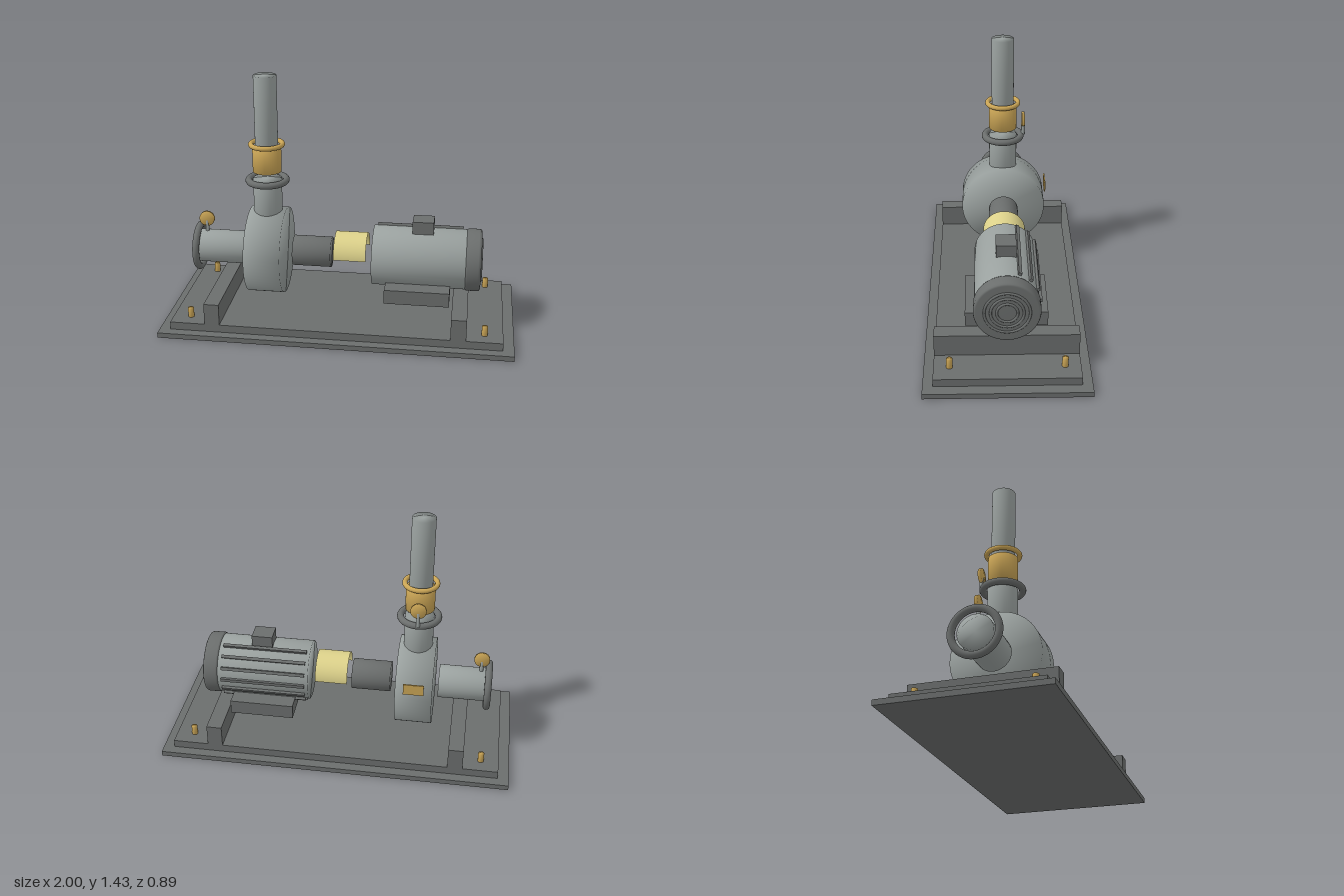
import * as THREE from 'three';
import { mergeVertices } from 'three/addons/utils/BufferGeometryUtils.js';

const mat = (name, color, side = THREE.FrontSide) => {
  const m = new THREE.MeshStandardMaterial({ color, side });
  m.name = name;
  return m;
};

export function createModel() {
  const root = new THREE.Group();
  root.name = 'motorDrivenPump';

  const light = mat('light grey', 0x9aa19f);
  const dark = mat('dark grey', 0x6b6e6d);
  const brass = mat('brass', 0xc9a455);
  const yellow = mat('pale yellow', 0xdcd18a, THREE.DoubleSide);

  const axisY = 0.39; // shaft height
  const pumpX = -0.433;

  const add = (name, geometry, material, x, y, z) => {
    const mesh = new THREE.Mesh(geometry, material);
    mesh.name = name;
    mesh.position.set(x, y, z);
    root.add(mesh);
    return mesh;
  };

  // Share normals across the caps
  const soften = (g) => {
    g.deleteAttribute('uv');
    g.deleteAttribute('normal');
    const merged = mergeVertices(g, 1e-5);
    merged.computeVertexNormals();
    return merged;
  };

  // Box, upright cylinder and shaft-wise cylinder given by their limits
  const box = (name, m, x0, x1, y0, y1, halfZ) =>
    add(name, new THREE.BoxGeometry(x1 - x0, y1 - y0, halfZ * 2), m, (x0 + x1) / 2, (y0 + y1) / 2, 0);
  const upright = (name, m, r, y0, y1, x, z = 0, sides = 48) =>
    add(name, soften(new THREE.CylinderGeometry(r, r, y1 - y0, sides)), m, x, (y0 + y1) / 2, z);
  const along = (name, m, r, x0, x1) =>
    add(name, soften(new THREE.CylinderGeometry(r, r, x1 - x0, 64).rotateZ(Math.PI / 2)), m, (x0 + x1) / 2, axisY, 0);

  // Baseplate
  box('basePlate', dark, -1, 1, 0, 0.03, 0.445);
  box('baseDeck', dark, -0.938, 0.938, 0.03, 0.075, 0.39);
  box('pumpCrossBeam', dark, -0.738, -0.652, 0.075, 0.2, 0.39);
  box('motorCrossBeam', dark, 0.648, 0.735, 0.075, 0.2, 0.39);
  for (const x of [-0.837, 0.835])
    for (const z of [-0.305, 0.305]) upright('anchorBolt', brass, 0.017, 0.07, 0.13, x, z, 20);

  // Pump casing and suction side
  along('pumpCasing', light, 0.25, -0.537, -0.328);
  along('suctionPipe', light, 0.096, -0.84, -0.563);
  add('suctionFlange', new THREE.TorusGeometry(0.125, 0.02, 16, 64).rotateY(Math.PI / 2), dark, -0.844, axisY, 0);
  add('namePlate', new THREE.BoxGeometry(0.115, 0.065, 0.008), brass, pumpX, 0.493, -0.256);

  // Discharge side
  upright('dischargePipe', light, 0.082, 0.57, 0.83, pumpX);
  add('dischargeFlange', new THREE.TorusGeometry(0.107, 0.019, 16, 64).rotateX(Math.PI / 2), dark, pumpX, 0.82, 0);
  upright('valveBody', brass, 0.082, 0.875, 1.01, pumpX);
  add('valveRing', new THREE.TorusGeometry(0.09, 0.014, 16, 64).rotateX(Math.PI / 2), brass, pumpX, 1.034, 0);
  upright('riserPipe', light, 0.065, 1.005, 1.432, pumpX);

  // Pressure gauges: stem and round dial
  const gauge = (x, stemBottom, dialY, z) => {
    upright('gaugeStem', light, 0.011, stemBottom, dialY - 0.012, x, z, 16);
    add('gaugeDial', soften(new THREE.CylinderGeometry(0.044, 0.044, 0.017, 32).rotateX(Math.PI / 2)),
      brass, x, dialY, z);
  };
  gauge(-0.8, 0.47, 0.561, 0);
  gauge(pumpX, 0.825, 0.926, -0.122);

  // Bearing housing and half-round coupling guard
  along('bearingHousing', dark, 0.088, -0.285, -0.062);
  add('couplingGuard',
    new THREE.CylinderGeometry(0.122, 0.122, 0.186, 40, 1, true, 0, Math.PI).rotateZ(Math.PI / 2),
    yellow, 0.053, 0.393, 0);

  // Motor
  along('motorBody', light, 0.172, 0.182, 0.72);
  box('motorFoot', dark, 0.263, 0.63, 0.19, 0.273, 0.224);
  box('junctionBox', dark, 0.405, 0.525, 0.54, 0.626, 0.055);

  // Cooling fins on the rear half of the motor
  for (let i = -3; i <= 3; i++) {
    const a = i * Math.PI / 8;
    const fin = add('coolingFin', new THREE.BoxGeometry(0.49, 0.018, 0.03), dark,
      0.446, axisY + Math.sin(a) * 0.172, -Math.cos(a) * 0.172);
    fin.rotation.x = a;
  }

  // Fan cover with rounded rims and concentric grille rings
  const profile = [
    [0, 0], [0.165, 0], [0.174, 0.003], [0.178, 0.012], [0.178, 0.072],
    [0.174, 0.083], [0.165, 0.088], [0, 0.088],
  ].map(([r, h]) => new THREE.Vector2(r, h));
  add('fanCover', soften(new THREE.LatheGeometry(profile, 64).rotateZ(-Math.PI / 2)), dark, 0.711, axisY, 0);
  for (const r of [0.12, 0.087, 0.055])
    add('grilleRing', new THREE.TorusGeometry(r, 0.007, 10, 56).rotateY(Math.PI / 2), dark, 0.799, axisY, 0);

  return root;
}
